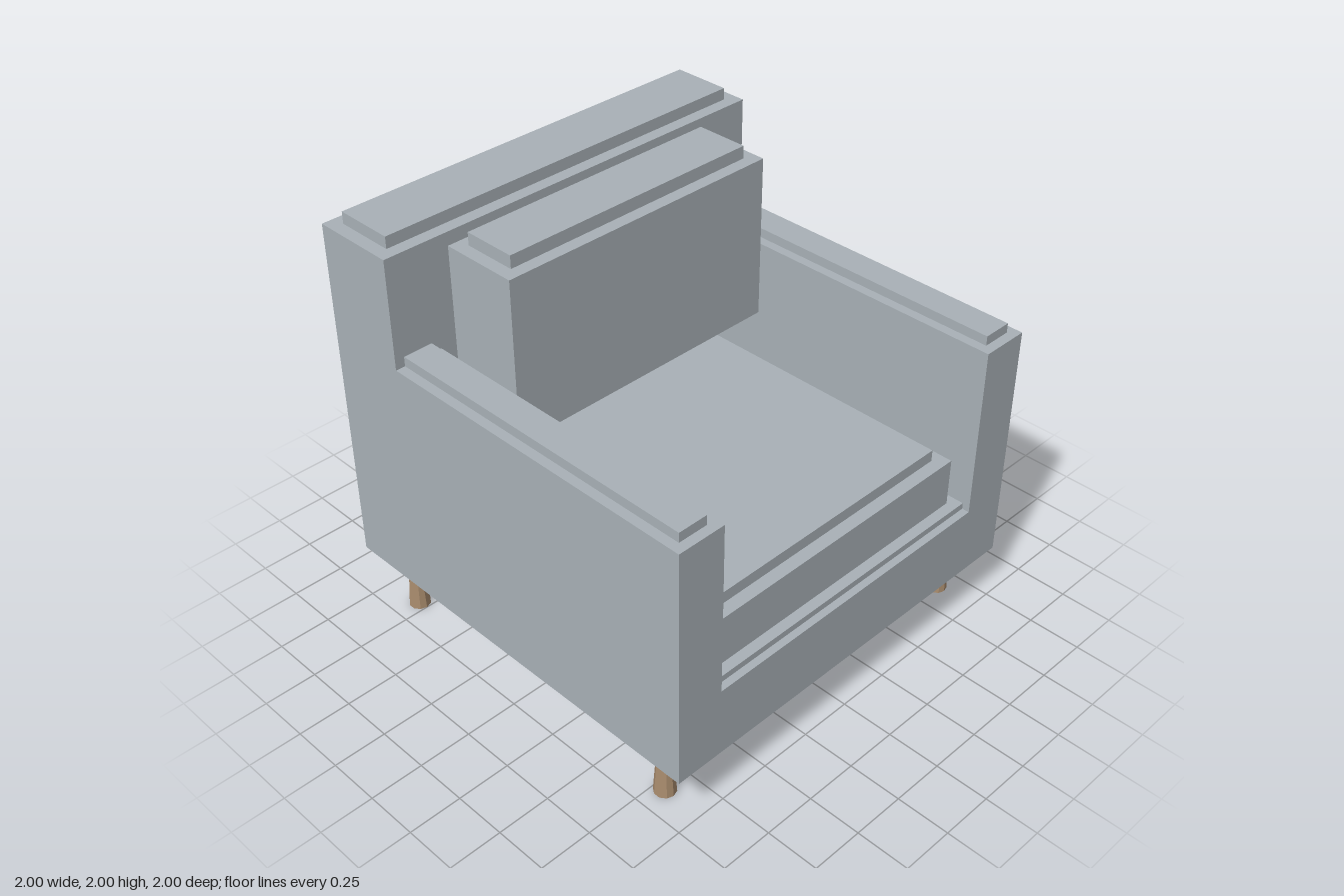
import * as THREE from 'three';

export function createModel() {
  const fabric = new THREE.MeshStandardMaterial({ color: 0xa9b1b7 });
  fabric.name = 'grey fabric';
  const wood = new THREE.MeshStandardMaterial({ color: 0xa98c6e, flatShading: true });
  wood.name = 'brown wood';

  const chair = new THREE.Group();
  chair.name = 'armchair';

  // Box given by its lower and upper limits on each axis
  function box(name, [x0, x1], [y0, y1], [z0, z1]) {
    const mesh = new THREE.Mesh(new THREE.BoxGeometry(x1 - x0, y1 - y0, z1 - z0), fabric);
    mesh.position.set((x0 + x1) / 2, (y0 + y1) / 2, (z0 + z1) / 2);
    mesh.name = name;
    chair.add(mesh);
  }

  // Base and both arms: one U-shaped profile run from the back to the front
  const profile = new THREE.Shape([
    [-1, 0.28], [1, 0.28], [1, 1.435], [0.77, 1.435],
    [0.77, 0.615], [-0.77, 0.615], [-0.77, 1.435], [-1, 1.435],
  ].map(([x, y]) => new THREE.Vector2(x, y)));
  const frame = new THREE.Mesh(
    new THREE.ExtrudeGeometry(profile, { depth: 1.6, bevelEnabled: false }), fabric);
  frame.position.z = -0.6;
  frame.name = 'baseAndArms';
  chair.add(frame);

  // Backrest
  box('backrest', [-1, 1], [0.28, 1.945], [-1, -0.6]);
  box('backrestCap', [-0.94, 0.94], [1.945, 2], [-0.94, -0.66]);

  // Seat deck and cushion
  box('seatDeck', [-0.77, 0.77], [0.615, 0.645], [-0.6, 0.965]);
  box('seatCushion', [-0.72, 0.72], [0.645, 0.875], [-0.6, 0.915]);
  box('seatCushionTop', [-0.66, 0.66], [0.875, 0.93], [-0.585, 0.855]);

  // Back cushion
  box('backCushion', [-0.71, 0.71], [1.125, 1.9], [-0.575, -0.205]);
  box('backCushionTop', [-0.65, 0.65], [1.9, 1.96], [-0.52, -0.265]);

  // Arm pads
  box('leftArmPad', [0.815, 0.955], [1.435, 1.48], [-0.6, 0.955]);
  box('rightArmPad', [-0.955, -0.815], [1.435, 1.48], [-0.6, 0.955]);

  // Legs, wider at the floor
  const legGeometry = new THREE.CylinderGeometry(0.03, 0.05, 0.28, 10);
  for (const x of [-0.88, 0.88]) {
    for (const z of [-0.8, 0.8]) {
      const leg = new THREE.Mesh(legGeometry, wood);
      leg.position.set(x, 0.14, z);
      leg.name = (z > 0 ? 'front' : 'back') + (x > 0 ? 'Left' : 'Right') + 'Leg';
      chair.add(leg);
    }
  }
  return chair;
}
